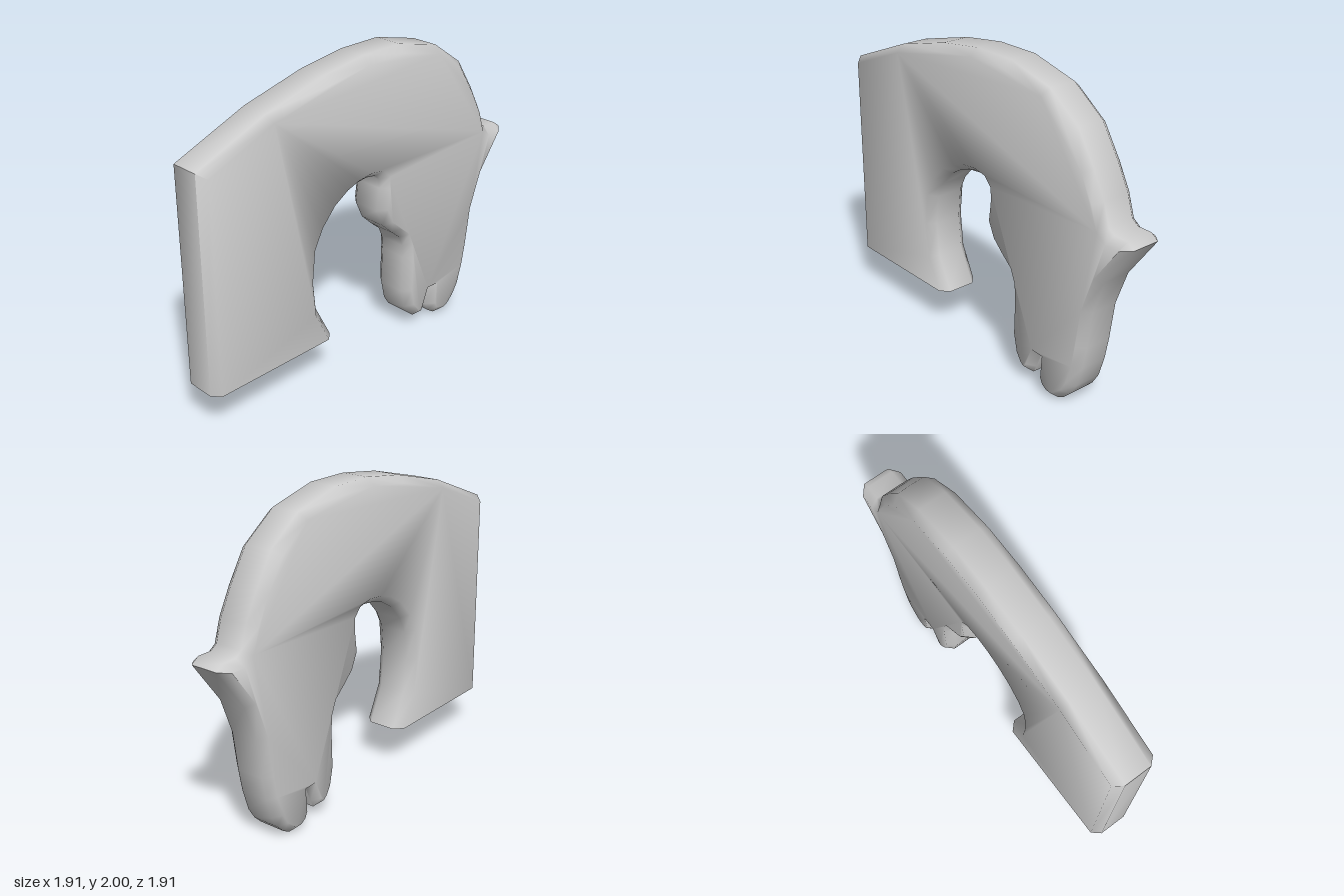
import * as THREE from 'three';
import { toCreasedNormals } from 'three/addons/utils/BufferGeometryUtils.js';

// Side outlines as [along, height]; the slab stands on the diagonal,
// so distances along it are stretched by the square root of two.
const neckFront = [
  [-0.885, 0.275], [-0.225, 0.275], [-0.305, 0.5], [-0.32, 0.72], [-0.305, 0.92],
  [-0.265, 1.03], [-0.2, 1.13], [-0.13, 1.19], [-0.07, 1.217], [0, 1.228], [0.055, 1.215],
];
const jaw = [
  [0.078, 1.18], [0.08, 1.12], [0.066, 0.97], [0.105, 0.85], [0.165, 0.77], [0.215, 0.71],
  [0.235, 0.64], [0.24, 0.55], [0.235, 0.3], [0.255, 0.17], [0.285, 0.105], [0.315, 0.07],
];
const mouth = [
  [0.355, 0.07], [0.372, 0.12], [0.4, 0.22], [0.412, 0.22], [0.405, 0.1], [0.425, 0.04], [0.465, 0.003],
];
const face = [
  [0.51, 0], [0.545, 0.025], [0.585, 0.08], [0.62, 0.16], [0.65, 0.3], [0.67, 0.45],
  [0.695, 0.7], [0.755, 0.93],
];
const ear = [[0.895, 1.2], [0.86, 1.235], [0.79, 1.235], [0.76, 1.265]];
const crest = [
  [0.73, 1.4], [0.67, 1.56], [0.58, 1.76], [0.42, 1.92], [0.19, 2],
  [-0.02, 2], [-0.24, 1.957], [-0.54, 1.85], [-0.885, 1.658],
];

export function createModel() {
  const group = new THREE.Group();
  group.name = 'horseHeadPlaque';

  const points = [...neckFront, ...jaw, ...mouth, ...face, ...ear, ...crest]
    .map(([w, y]) => new THREE.Vector2(w * Math.SQRT2, y));

  // Slab with a single chamfer inside the outline
  const half = 0.143, bevel = 0.045, bevelDepth = 0.053;
  let geometry = new THREE.ExtrudeGeometry(new THREE.Shape(points), {
    depth: 2 * (half - bevelDepth),
    bevelEnabled: true,
    bevelThickness: bevelDepth,
    bevelSize: bevel,
    bevelOffset: -bevel,
    bevelSegments: 1,
  });
  geometry.translate(0, 0, -(half - bevelDepth));

  // The base of the neck is cut flat, without a chamfer
  const pos = geometry.attributes.position;
  for (let i = 0; i < pos.count; i++) {
    if (pos.getX(i) < -0.2 && pos.getY(i) < 0.35) pos.setY(i, 0.275);
  }

  geometry.deleteAttribute('uv');
  geometry = toCreasedNormals(geometry, THREE.MathUtils.degToRad(60));

  const head = new THREE.Mesh(geometry, new THREE.MeshStandardMaterial({ color: 0xcccccc }));
  head.name = 'headAndNeck';
  head.rotation.y = Math.PI / 4;
  group.add(head);
  return group;
}
